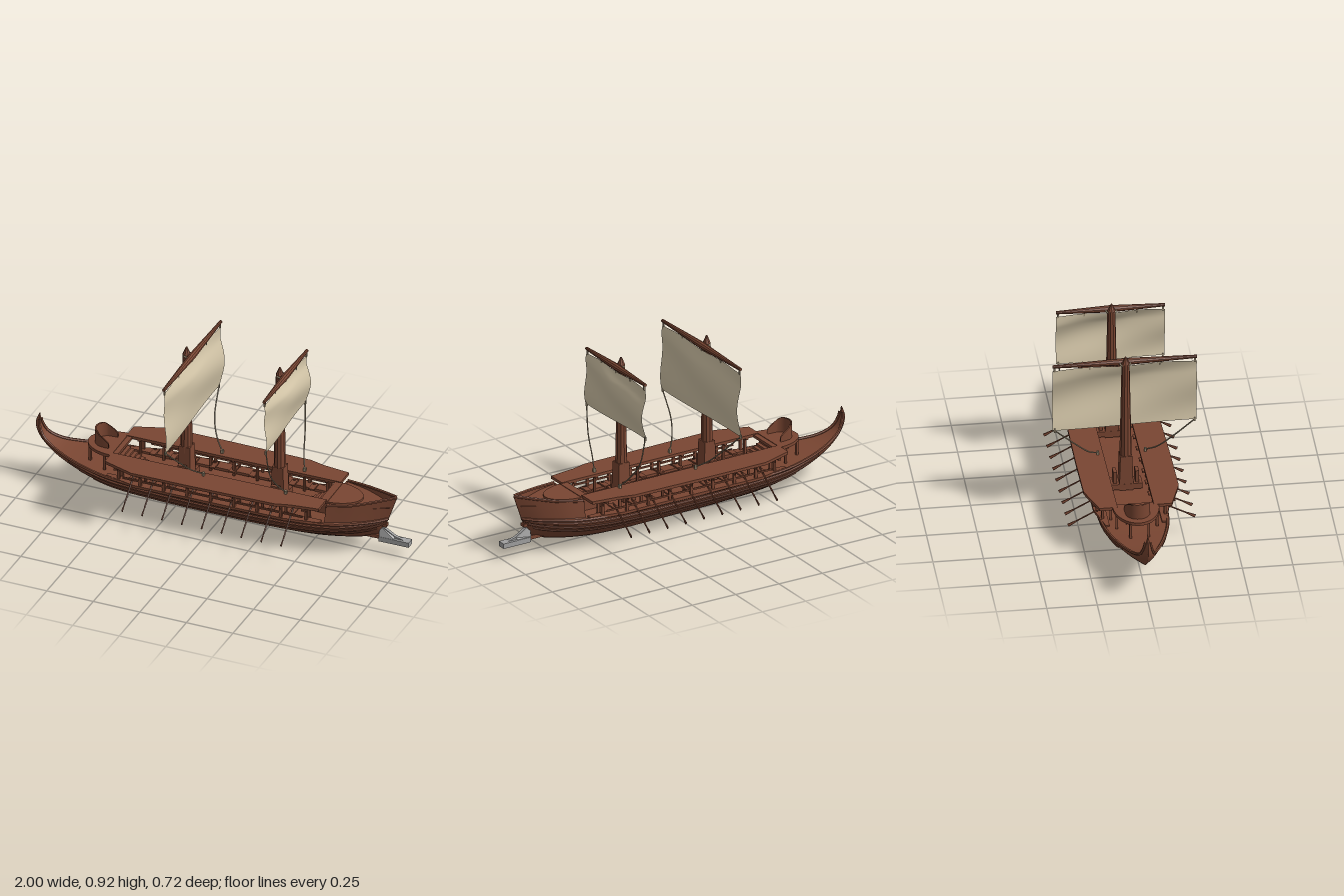
import * as THREE from 'three';

const mat = (color, side = THREE.FrontSide, flatShading = false) =>
  new THREE.MeshStandardMaterial({ color, side, flatShading, roughness: 0.9 });
const wood = mat(0x7a4632, THREE.FrontSide, true);
const planks = mat(0x7a4632, THREE.DoubleSide);
const metal = mat(0xa0a0a0, THREE.DoubleSide, true);
const cloth = mat(0xd6c8aa, THREE.DoubleSide);
const ropeMat = mat(0x9a8c74);
const V = (x, y, z) => new THREE.Vector3(x, y, z);

export function createModel() {
  const ship = new THREE.Group();
  ship.name = 'ship';

  const add = (name, geo, material = wood, parent = ship) => {
    const m = new THREE.Mesh(geo, material);
    m.name = name;
    parent.add(m);
    return m;
  };
  const box = (name, x, y, z, w, h, d, material = wood) => {
    const m = add(name, new THREE.BoxGeometry(w, h, d), material);
    m.position.set(x, y, z);
    return m;
  };
  // tapered rod between two points
  const rod = (name, a, b, ra, rb = ra, sides = 8, material = wood) => {
    const m = add(name, new THREE.CylinderGeometry(rb, ra, a.distanceTo(b), sides), material);
    m.position.copy(a).lerp(b, 0.5);
    m.quaternion.setFromUnitVectors(V(0, 1, 0), b.clone().sub(a).normalize());
    return m;
  };
  const tube = (name, pts, r, material = wood, n = 40) =>
    add(name, new THREE.TubeGeometry(new THREE.CatmullRomCurve3(pts), n, r, 6), material);
  // skin over rows of points given by fn(u, v)
  const skin = (name, nu, nv, fn, material = planks) => {
    const pos = [], idx = [];
    for (let i = 0; i <= nu; i++) for (let j = 0; j <= nv; j++) {
      pos.push(...fn(i / nu, j / nv).toArray());
      if (i < nu && j < nv) {
        const a = i * (nv + 1) + j, b = a + nv + 1;
        idx.push(a, b, a + 1, b, b + 1, a + 1);
      }
    }
    const g = new THREE.BufferGeometry();
    g.setAttribute('position', new THREE.Float32BufferAttribute(pos, 3));
    g.setIndex(idx);
    g.computeVertexNormals();
    return add(name, g, material);
  };
  // flat slab from a plan outline in x, z, with its underside at y
  const slab = (name, outline, y, h) => {
    const shape = new THREE.Shape(outline.map(([x, z]) => new THREE.Vector2(x, -z)));
    const g = new THREE.ExtrudeGeometry(shape, { depth: h, bevelEnabled: false });
    g.rotateX(-Math.PI / 2);
    return add(name, g).translateY(y);
  };

  // hull stations: keel x, keel y, gunwale x, gunwale y, half width
  const stations = [
    [-0.982, 0.355, -0.978, 0.357, 0.003], [-1.0, 0.30, -0.972, 0.295, 0.016],
    [-0.982, 0.235, -0.945, 0.245, 0.03], [-0.92, 0.165, -0.88, 0.21, 0.052],
    [-0.83, 0.11, -0.8, 0.193, 0.085], [-0.7, 0.06, -0.69, 0.183, 0.125],
    [-0.55, 0.024, -0.55, 0.175, 0.158], [-0.3, 0.007, -0.3, 0.168, 0.172],
    [0, 0.002, 0, 0.165, 0.175], [0.3, 0.0, 0.3, 0.165, 0.172],
    [0.5, 0.01, 0.5, 0.17, 0.165], [0.65, 0.033, 0.65, 0.176, 0.14],
    [0.76, 0.06, 0.76, 0.182, 0.092], [0.83, 0.09, 0.84, 0.186, 0.042],
    [0.855, 0.12, 0.885, 0.19, 0.003],
  ];
  const keel = new THREE.CatmullRomCurve3(stations.map(s => V(s[0], s[1], 0)));
  const gunwale = new THREE.CatmullRomCurve3(stations.map(s => V(s[2], s[3], s[4])));
  const hullPoint = (u, t, side, out = 0) => {
    const k = keel.getPoint(u), g = gunwale.getPoint(u);
    return V(k.x + (g.x - k.x) * t, k.y + (g.y - k.y) * t,
      side * (g.z * Math.sin(t * Math.PI / 2) + out));
  };
  skin('hull', 84, 28, (u, v) => hullPoint(u, Math.abs(2 * v - 1), v < 0.5 ? 1 : -1));
  skin('lowerDeck', 84, 2, (u, v) => {
    const g = gunwale.getPoint(u);
    return V(g.x, g.y - 0.002, g.z * (1 - 2 * v));
  });

  // gunwale rails and wales running along the planking
  for (const s of [1, -1]) {
    for (const [t, u0, u1, r] of [[1, 0.03, 0.995, 0.008], [0.86, 0.3, 0.99, 0.007], [0.68, 0.34, 0.96, 0.006], [0.5, 0.38, 0.93, 0.004]]) {
      const pts = Array.from({ length: 30 }, (_, i) => hullPoint(u0 + (u1 - u0) * i / 29, t, s, 0.002));
      tube(t === 1 ? 'gunwale' : 'wale', pts, r, wood, 70);
    }
    // outrigger shelf carrying the outer posts
    slab('outrigger', [[-0.56, s * 0.15], [-0.4, s * 0.19], [0.4, s * 0.19], [0.58, s * 0.16], [0.58, s * 0.13], [-0.56, s * 0.13]], 0.168, 0.014);
  }

  // raised bow bulwark
  const bowLow = new THREE.CatmullRomCurve3([V(0.6, 0.175, 0.148), V(0.7, 0.18, 0.115), V(0.79, 0.183, 0.07), V(0.885, 0.19, 0.002)]);
  const bowTop = new THREE.CatmullRomCurve3([V(0.61, 0.268, 0.135), V(0.72, 0.28, 0.105), V(0.82, 0.298, 0.06), V(0.93, 0.32, 0.002)]);
  for (const s of [1, -1]) {
    const flip = p => V(p.x, p.y, p.z * s);
    skin('bowBulwark', 20, 3, (u, v) => flip(bowLow.getPoint(u).lerp(bowTop.getPoint(u), v)));
    tube('bowRail', bowTop.getPoints(10).map(flip), 0.008);
    tube('bowTrim', bowLow.getPoints(10).map(flip), 0.007);
  }
  skin('foredeck', 16, 2, (u, v) => {
    const p = bowTop.getPoint(u * 0.9);
    return V(p.x, 0.262, p.z * (1 - 2 * v) * 0.98);
  });
  box('bowBulkhead', 0.607, 0.22, 0, 0.01, 0.09, 0.27);
  const arc = (cx, rx, rz, dir) => Array.from({ length: 17 }, (_, i) => {
    const a = -Math.PI / 2 + Math.PI * i / 16;
    return [cx + dir * rx * Math.cos(a), rz * Math.sin(a)];
  });
  slab('bowPlatform', arc(0.58, 0.165, 0.1, 1), 0.258, 0.014);

  // stern platform with its curved shelter
  slab('sternPlatform', arc(-0.55, 0.165, 0.115, -1), 0.262, 0.016);
  for (const s of [1, -1]) for (const x of [-0.69, -0.59])
    box('sternPost', x, 0.222, s * (x < -0.6 ? 0.045 : 0.1), 0.012, 0.085, 0.012);
  for (const r of [0.062, 0.055]) skin('sternShelter', 28, 6, (u, v) => {
    const a = Math.PI * (0.5 + u), e = Math.abs(2 * u - 1);
    const top = 0.357 - 0.055 * Math.pow(e, 5);
    return V(-0.617 + r * Math.cos(a) + (e > 0.8 ? (e - 0.8) * 0.16 : 0), 0.276 + (top - 0.276) * v, r * Math.sin(a));
  });

  // side decks on rows of posts
  for (const s of [1, -1]) {
    slab('sideDeck', [[-0.555, 0.09], [-0.555, 0.18], [-0.39, 0.236], [-0.1, 0.236], [0.37, 0.228], [0.45, 0.207], [0.59, 0.19], [0.59, 0.09]].map(([x, z]) => [x, z * s]), 0.264, 0.015);
    for (let i = 0; i < 9; i++) {
      const x = -0.49 + i * 0.125;
      const z = i === 0 || i === 8 ? 0.155 : 0.18;
      box('deckPost', x, 0.222, s * z, 0.013, 0.09, 0.013);
      rod('postKnee', V(x, 0.225, s * z), V(x, 0.266, s * (z + 0.022)), 0.006, 0.006, 4);
      box('innerPost', x, 0.218, s * 0.115, 0.012, 0.1, 0.012);
      box('deckBeam', x, 0.259, s * 0.15, 0.014, 0.01, 0.11);
    }
    box('lowerRail', 0.02, 0.205, s * 0.178, 0.96, 0.008, 0.008);
    // benches and oars
    for (let i = 0; i < 9; i++) {
      const x = -0.42 + i * 0.106;
      box('bench', x, 0.195, s * 0.125, 0.03, 0.008, 0.06);
      const a = V(x, 0.212, s * 0.125), b = V(x + 0.012, 0.125, s * 0.275), c = V(x + 0.015, 0.102, s * 0.315);
      rod('oar', a, b, 0.004, 0.004, 6);
      rod('oarBlade', b, c, 0.005, 0.009, 8).scale.x = 0.45;
    }
  }
  for (const [x0, dir] of [[-0.55, 1], [0.585, -1]]) {
    box('platformEnd', x0 + dir * 0.006, 0.268, 0, 0.04, 0.014, 0.19);
    for (let i = 0; i < 8; i++) {
      const h = 0.09 * (1 - i / 8);
      box('stair', x0 + dir * (0.01 + i * 0.019), 0.17 + h / 2, 0, 0.019, h, 0.096);
    }
  }

  // keel spur and metal ram
  box('ramBeam', 0.78, 0.08, 0, 0.17, 0.02, 0.026);
  box('bowSpur', 0.835, 0.152, 0, 0.085, 0.016, 0.03);
  skin('ram', 1, 5, (u, v) => {
    const [y, z] = [[0.062, 0.021], [0.09, 0.021], [0.143, 0.007], [0.143, -0.007], [0.09, -0.021], [0.062, -0.021]][Math.round(v * 5)];
    return V(0.84 + u * 0.08, y > 0.1 ? y - u * 0.047 : y, z);
  }, metal);
  box('ramHead', 0.92, 0.074, 0, 0.16, 0.026, 0.044, metal);
  const fin = new THREE.Shape([[0.85, 0.08], [0.995, 0.08], [0.92, 0.1], [0.85, 0.143]].map(p => new THREE.Vector2(...p)));
  add('ramFin', new THREE.ExtrudeGeometry(fin, { depth: 0.016, bevelEnabled: false }), metal).position.z = -0.008;

  // masts, yards, sails and sheets: mast x, half span, sail foot height, sheet end x
  for (const [x, half, foot, sheetX] of [[-0.195, 0.358, 0.508, -0.055], [0.303, 0.27, 0.58, 0.385]]) {
    rod('mast', V(x, 0.17, 0), V(x, 0.88, 0), 0.034, 0.02, 10);
    rod('mastTip', V(x, 0.88, 0), V(x, 0.918, 0), 0.02, 0.004, 8);
    const step = rod('mastStep', V(x, 0.17, 0), V(x, 0.36, 0), 0.05, 0.042, 4);
    step.rotateY(Math.PI / 4);
    box('mastPartner', x, 0.19, 0, 0.07, 0.03, 0.16);
    for (const s of [1, -1]) box('mastCheek', x, 0.225, s * 0.055, 0.045, 0.09, 0.018);
    const yx = x + 0.03, top = 0.852;
    for (const s of [1, -1]) rod('yard', V(yx, 0.873, 0), V(yx, 0.873, s * half), 0.018, 0.008, 10);
    const lash = add('yardLashing', new THREE.TorusGeometry(0.025, 0.005, 6, 16), ropeMat);
    lash.position.set(x + 0.012, 0.873, 0);
    lash.rotation.x = Math.PI / 2;

    const sailX = (v, w) => yx + 0.022 * Math.sin(Math.PI * v) * (0.5 + 0.5 * Math.cos(w * 1.5))
      + 0.012 * Math.sin(2 * Math.PI * v + 2.2 * w) * (1 - 0.4 * v) * Math.min(1, v * 5);
    skin('sail', 24, 24, (u, v) => {
      const w = 2 * u - 1;
      return V(sailX(v, w), top - (top - foot) * v - 0.004 * Math.cos(w * 6) * (1 - v), w * half);
    }, cloth);
    for (let i = 0; i < 5; i++)
      box('sailTie', yx, 0.855, (i - 2) / 2 * (half - 0.01), 0.008, 0.024, 0.008, ropeMat);

    for (const s of [1, -1]) {
      const z = s * (half - 0.01), fx = sailX(1, s);
      box('sheetClamp', fx, foot, z, 0.01, 0.02, 0.008, ropeMat);
      const drop = foot - 0.29, bow = half > 0.3 ? 0.5 : 0.78;
      tube('sheet', [V(fx, foot, z), V(fx + (sheetX - fx) * 0.22, foot - drop * 0.5, s * (0.12 + (half - 0.13) * bow)),
        V(fx + (sheetX - fx) * 0.58, foot - drop * 0.82, s * (0.12 + (half - 0.13) * bow * 0.42)), V(sheetX, 0.29, s * 0.118)], 0.0035, ropeMat, 24);
      box('sheetPin', sheetX, 0.287, s * 0.118, 0.012, 0.024, 0.012, ropeMat);
    }
  }

  // the ship lies very slightly askew
  ship.rotation.y = 0.0135;
  ship.position.z = -0.01;
  const model = new THREE.Group();
  model.name = 'sailingGalley';
  model.add(ship);
  return model;
}
